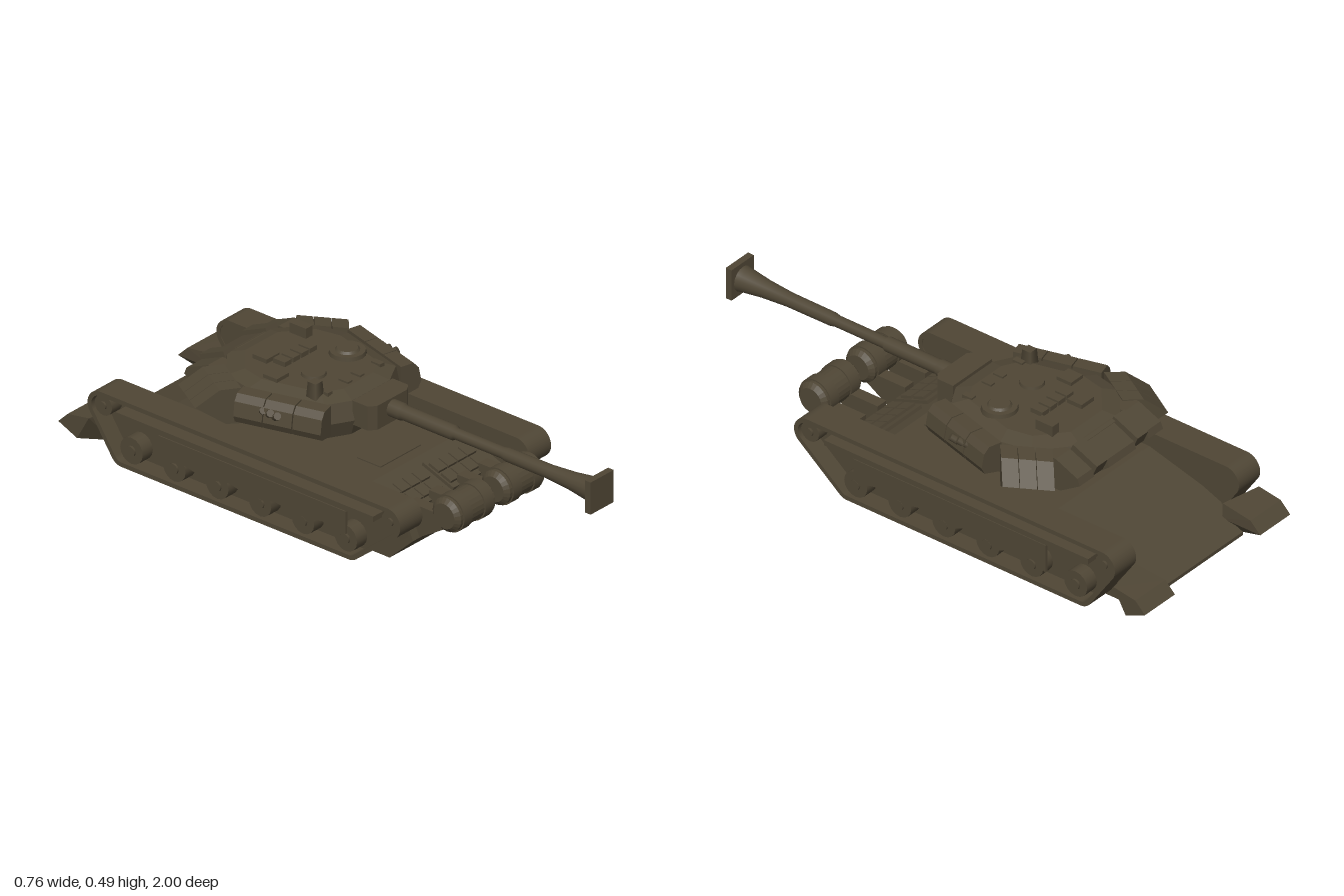
import * as THREE from 'three';
import { ConvexGeometry } from 'three/addons/geometries/ConvexGeometry.js';

const olive = new THREE.MeshStandardMaterial({ color: 0x4f4635 });
olive.name = 'olive drab';

export function createModel() {
  const root = new THREE.Group();
  root.name = 'tank';

  const group = (name) => {
    const g = new THREE.Group();
    g.name = name;
    root.add(g);
    return g;
  };
  const add = (parent, name, geo, x = 0, y = 0, z = 0) => {
    const m = new THREE.Mesh(geo, olive);
    m.name = name;
    m.position.set(x, y, z);
    parent.add(m);
    return m;
  };
  const box = (parent, name, w, h, d, x, y, z) => add(parent, name, new THREE.BoxGeometry(w, h, d), x, y, z);
  const solid = (parent, name, pts) => add(parent, name, new ConvexGeometry(pts.map((p) => new THREE.Vector3(...p))));
  const cyl = (r1, r2, h, n = 16) => new THREE.CylinderGeometry(r1, r2, h, n);
  // Side profile given as [z, y], extruded across x from x0 to x1
  const profile = (pts, x0, x1, hole) => {
    const shape = new THREE.Shape(pts.map((p) => new THREE.Vector2(...p)));
    if (hole) shape.holes.push(new THREE.Path(hole.map((p) => new THREE.Vector2(...p))));
    return new THREE.ExtrudeGeometry(shape, { depth: x1 - x0, bevelEnabled: false }).rotateY(-Math.PI / 2).translate(x1, 0, 0);
  };
  // Straight block between two plan points [x, z]; section rows are [inward distance, y]
  const sideBlock = (parent, name, a, b, inward, section, s, parts) => {
    for (let i = 0; i < parts; i++) {
      const pts = [];
      for (const t of [(i + 0.02) / parts, (i + 0.98) / parts]) {
        const x = a[0] + (b[0] - a[0]) * t, z = a[1] + (b[1] - a[1]) * t;
        for (const [d, y] of section) pts.push([s * (x + inward[0] * d), y, z + inward[1] * d]);
      }
      solid(parent, name, pts);
    }
  };

  // Hull: lower tub, sponsons reaching the tracks, deck falling away to the rear edge
  const hull = group('hull');
  add(hull, 'hullTub', profile([[0.29, 0], [0.39, 0.095], [0.36, 0.16], [0.18, 0.225], [-0.5, 0.225],
    [-0.72, 0.165], [-0.92, 0.085], [-0.92, 0.072], [-0.78, 0]], -0.23, 0.23));
  add(hull, 'sponsons', profile([[0.37, 0.105], [0.36, 0.155], [0.18, 0.222], [-0.5, 0.222], [-0.72, 0.162],
    [-0.86, 0.105]], -0.27, 0.27));
  box(hull, 'turretShield', 0.2, 0.012, 0.1, 0, 0.223, 0.09);
  // Armour brick racks on the sloping front plate
  const slope = Math.atan2(0.065, 0.18);
  for (const s of [-1, 1]) {
    const rack = new THREE.Group();
    rack.name = 'frontArmourRack';
    rack.position.set(s * 0.115, 0.197, 0.285);
    rack.rotation.x = slope;
    hull.add(rack);
    box(rack, 'rackBase', 0.2, 0.012, 0.14, 0, 0, 0);
    for (let i = 0; i < 4; i++) for (let j = 0; j < 2; j++)
      box(rack, 'armourBrick', 0.043, 0.016, 0.045, -0.072 + i * 0.048, 0.008, -0.028 + j * 0.055);
  }

  // Running gear
  const wheels = [[0.405, 0.225, 0.055], [-0.82, 0.225, 0.055], [-0.73, 0.085, 0.05], [0.24, 0.085, 0.05]];
  const loop = (inset) => Array.from({ length: 64 }, (_, i) => {
    const a = (i + 0.5) * Math.PI / 32, c = Math.cos(a), s = Math.sin(a);
    const reach = ([z, y, r]) => z * c + y * s + r;
    const [z, y, r] = wheels.reduce((best, w) => (reach(w) > reach(best) ? w : best));
    return [z + (r - inset) * c, y + (r - inset) * s];
  });
  for (const s of [-1, 1]) {
    const track = group(s > 0 ? 'leftTrack' : 'rightTrack');
    const span = (a, b) => (s > 0 ? [a, b] : [-b, -a]);
    add(track, 'trackBelt', profile(loop(0), ...span(0.265, 0.375), loop(0.016)));
    add(track, 'innerWall', profile(loop(0.015), ...span(0.268, 0.31)));
    const wheel = (name, z, y, r) => {
      add(track, name, cyl(r, r, 0.085).rotateZ(Math.PI / 2), s * 0.318, y, z);
      add(track, 'hub', cyl(r * 0.4, r * 0.4, 0.1, 10).rotateZ(Math.PI / 2), s * 0.318, y, z);
    };
    wheel('idlerWheel', 0.405, 0.225, 0.037);
    wheel('driveSprocket', -0.82, 0.225, 0.037);
    for (let i = 0; i < 6; i++) wheel('roadWheel', 0.215 - i * 0.183, 0.099, 0.048);
    // Guard band and scalloped skirt between the track runs
    add(track, 'guardBand', profile([[0.34, 0.205], [0.34, 0.225], [-0.76, 0.225], [-0.76, 0.205]], ...span(0.3, 0.37)));
    const skirt = [[0.22, 0.2], [-0.58, 0.2]];
    for (let i = 0; i <= 16; i++) skirt.push([-0.58 + i * 0.05, 0.095 + 0.035 * Math.abs(Math.sin(i * Math.PI / 4))]);
    add(track, 'sideSkirt', profile(skirt, ...span(0.358, 0.367)));

    // Rear tail wedges behind the tracks
    solid(hull, 'tailWedge', [[0.222, 0.108, -0.84], [0.225, 0.165, -0.84], [0.22, 0.15, -0.96], [0.22, 0.11, -1],
      [0.375, 0.165, -0.87], [0.375, 0.15, -0.96], [0.375, 0.11, -1], [0.375, 0.075, -0.92], [0.268, 0.045, -0.86],
      [0.268, 0.075, -0.92]].map(([x, y, z]) => [s * x, y, z]));

    // Fuel drum with straps and brackets
    const drum = group('fuelDrum');
    const outline = [[0, -0.1], [0.045, -0.1], [0.061, -0.085], [0.061, 0.085], [0.045, 0.1], [0, 0.1]];
    add(drum, 'drumBody', new THREE.LatheGeometry(outline.map((p) => new THREE.Vector2(...p)), 24).toNonIndexed()
      .rotateZ(Math.PI / 2), s * 0.122, 0.227, 0.515).geometry.computeVertexNormals();
    for (const x of [0.07, 0.175]) {
      add(drum, 'drumStrap', cyl(0.066, 0.066, 0.042, 24).rotateZ(Math.PI / 2), s * x, 0.227, 0.515);
      solid(drum, 'drumBracket', [-0.022, 0.022].flatMap((d) => [[s * x + d, 0.085, 0.37], [s * x + d, 0.165, 0.34],
        [s * x + d, 0.165, 0.5], [s * x + d, 0.21, 0.46], [s * x + d, 0.21, 0.34]]));
    }
  }

  // Turret shell from scaled plan outlines
  const turret = group('turret');
  const plan = [[0.1, 0.03], [0.19, -0.02], [0.265, -0.3], [0.24, -0.42], [0.11, -0.53]];
  const shell = [];
  for (const [y, k, zc] of [[0.3, 0.92, -0.24], [0.36, 1, -0.25], [0.425, 0.94, -0.25], [0.442, 0.74, -0.24]])
    for (const [x, z] of plan) for (const s of [-1, 1]) shell.push([s * x * k, y, zc + (z - zc) * k]);
  solid(turret, 'turretShell', shell);
  solid(turret, 'rearBox', [-0.07, 0.07].flatMap((x) => [[x, 0.3, -0.45], [x, 0.3, -0.53], [x, 0.36, -0.605],
    [x, 0.385, -0.595], [x, 0.43, -0.5], [x, 0.43, -0.44]]));
  for (const s of [-1, 1]) {
    sideBlock(turret, 'rearStowageBox', [0.38, -0.41], [0.292, -0.56], [-0.74, 0.67],
      [[0, 0.365], [0.08, 0.425], [0.1, 0.3], [0.15, 0.43], [0.15, 0.3]], s, 3);
    sideBlock(turret, 'flankArmour', [0.335, -0.29], [0.25, 0.015], [-0.96, -0.26],
      [[0, 0.36], [0.012, 0.335], [0.01, 0.41], [0.03, 0.432], [0.08, 0.432], [0.08, 0.32]], s, 3);
    solid(turret, 'rearCornerBox', [0.14, 0.215].flatMap((x) => [[s * x, 0.305, -0.46], [s * x, 0.31, -0.52],
      [s * x, 0.36, -0.6], [s * x, 0.385, -0.59], [s * x, 0.425, -0.5], [s * x, 0.425, -0.44]]));
    box(turret, 'rearCanister', 0.055, 0.05, 0.11, s * 0.105, 0.395, -0.545).rotation.x = -0.42;
    for (let i = 0; i < 3; i++) {
      const tube = add(turret, 'smokeLauncher', cyl(0.013, 0.013, 0.06, 8), s * 0.285, 0.385, -0.15 - i * 0.03);
      tube.rotation.set(0.9, 0, -s * 0.5);
    }
  }

  // Roof fittings
  add(turret, 'commanderCupola', cyl(0.06, 0.066, 0.036), 0.12, 0.438, -0.19);
  add(turret, 'cupolaLid', cyl(0.035, 0.045, 0.012), 0.12, 0.458, -0.19);
  add(turret, 'gunnerHatch', cyl(0.04, 0.046, 0.024), -0.06, 0.44, -0.18);
  add(turret, 'roofSight', new THREE.CylinderGeometry(0.024, 0.03, 0.06, 4).rotateY(Math.PI / 4), -0.158, 0.456, -0.09);
  box(turret, 'sightBox', 0.06, 0.03, 0.06, -0.155, 0.44, -0.26);
  box(turret, 'roofBox', 0.065, 0.035, 0.06, -0.075, 0.44, -0.37);
  box(turret, 'periscope', 0.034, 0.045, 0.07, 0.122, 0.456, -0.39);
  for (let i = 0; i < 4; i++) box(turret, 'roofBrick', 0.034, 0.022, 0.05, -0.07 + i * 0.042, 0.448, -0.305);
  for (const x of [-0.13, -0.03, 0.03, 0.13]) box(turret, 'frontPeriscope', 0.022, 0.025, 0.04, x, 0.436, -0.07);

  // Gun: mantlet, stepped flaring barrel, square muzzle
  const gun = group('gun');
  solid(gun, 'mantlet', [[0.1, 0.02], [0.1, 0.085], [0.075, 0.105]].flatMap(([x, z]) => [-1, 1].flatMap((s) =>
    [[s * x, 0.342, z], [s * x, 0.43, z]])));
  const barrel = [[0.03, 0.08], [0.03, 0.15], [0.026, 0.16], [0.026, 0.37], [0.02, 0.38], [0.02, 0.58],
    [0.024, 0.6], [0.025, 0.78], [0.032, 0.88], [0.042, 0.955], [0.046, 0.975]];
  add(gun, 'barrel', new THREE.LatheGeometry(barrel.map((p) => new THREE.Vector2(...p)), 16).rotateX(Math.PI / 2), 0, 0.393, 0);
  box(gun, 'muzzle', 0.115, 0.118, 0.024, 0, 0.395, 0.988);
  return root;
}
